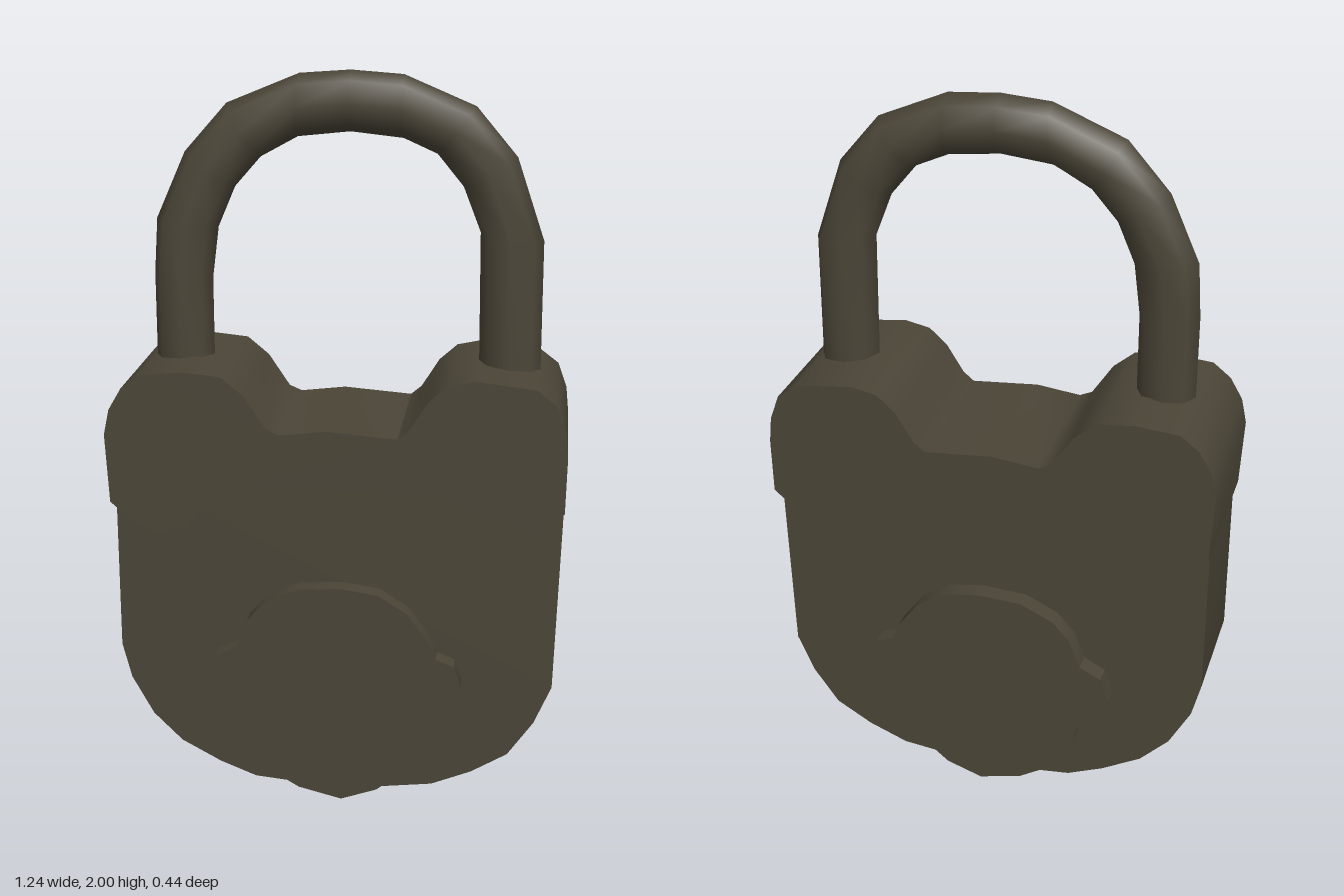
import * as THREE from 'three';
import { toCreasedNormals } from 'three/addons/utils/BufferGeometryUtils.js';

const iron = new THREE.MeshStandardMaterial({ color: 0x4b4537 });
iron.name = 'dark iron';

// Solid slab from an outline, centred on z = 0
function slab(name, outline, depth) {
  const shape = new THREE.Shape(outline.map(([x, y]) => new THREE.Vector2(x, y)));
  const geo = new THREE.ExtrudeGeometry(shape, { depth, bevelEnabled: false });
  geo.translate(0, 0, -depth / 2);
  const mesh = new THREE.Mesh(toCreasedNormals(geo, 0.6), iron);
  mesh.name = name;
  return mesh;
}

// Bent bar: each station gives a point on the outer and inner edge of the bend
function bentBar(name, stations, halfDepth, sides) {
  const pos = [], index = [];
  stations.forEach(([ox, oy, ix, iy], i) => {
    for (let j = 0; j < sides; j++) {
      const a = (j / sides) * Math.PI * 2;
      const c = Math.cos(a) / 2;
      pos.push((ox + ix) / 2 + (ox - ix) * c, (oy + iy) / 2 + (oy - iy) * c, Math.sin(a) * halfDepth);
      if (i === stations.length - 1) continue;
      const k = (j + 1) % sides;
      const p = i * sides + j, q = i * sides + k;
      index.push(p, q, p + sides, q, q + sides, p + sides);
    }
  });
  const geo = new THREE.BufferGeometry();
  geo.setAttribute('position', new THREE.Float32BufferAttribute(pos, 3));
  geo.setIndex(index);
  geo.computeVertexNormals();
  const mesh = new THREE.Mesh(geo, iron);
  mesh.name = name;
  return mesh;
}

export function createModel() {
  const group = new THREE.Group();
  group.name = 'padlock';

  // Main case with a rounded bottom
  group.add(slab('body', [
    [-0.605, 0.95], [-0.605, 0.42], [-0.58, 0.32], [-0.52, 0.21], [-0.44, 0.13], [-0.33, 0.07],
    [-0.23, 0.03], [0.02, 0.005], [0.27, 0.035], [0.38, 0.08], [0.48, 0.14], [0.55, 0.24],
    [0.597, 0.35], [0.612, 0.87], [0.612, 0.95],
  ], 0.336));

  // Thicker cap with two shoulders and a scalloped lower edge
  group.add(slab('cap', [
    // scalloped edge, left to right
    [-0.61, 0.86], [-0.54, 0.8], [-0.49, 0.77], [-0.44, 0.775], [-0.4, 0.8], [-0.36, 0.85],
    [-0.31, 0.895], [-0.26, 0.915], [-0.21, 0.905], [-0.16, 0.87], [-0.11, 0.9], [-0.02, 0.915],
    [0.09, 0.9], [0.14, 0.87], [0.19, 0.905], [0.24, 0.915], [0.29, 0.9], [0.34, 0.855],
    [0.4, 0.81], [0.45, 0.79], [0.54, 0.81], [0.614, 0.875],
    // shoulders and the dip between them, right to left
    [0.617, 1.03], [0.61, 1.1], [0.585, 1.17], [0.53, 1.212], [0.37, 1.23], [0.3, 1.215],
    [0.25, 1.17], [0.2, 1.09], [0.17, 1.065], [-0.02, 1.08], [-0.145, 1.065], [-0.18, 1.08],
    [-0.24, 1.17], [-0.3, 1.22], [-0.4, 1.23], [-0.52, 1.22], [-0.57, 1.18], [-0.605, 1.12],
    [-0.62, 1.05],
  ], 0.44));

  // Raised keyhole boss on both faces
  group.add(slab('boss', [
    [0.02, 0.635], [-0.1, 0.628], [-0.19, 0.585], [-0.24, 0.53], [-0.27, 0.45], [-0.33, 0.42],
    [-0.355, 0.35], [-0.33, 0.28], [-0.27, 0.25], [-0.25, 0.18], [-0.2, 0.09], [-0.1, 0.03],
    [0.02, 0], [0.12, 0.035], [0.21, 0.11], [0.25, 0.19], [0.27, 0.26], [0.33, 0.28],
    [0.35, 0.36], [0.33, 0.42], [0.28, 0.44], [0.26, 0.49], [0.2, 0.57], [0.12, 0.62],
  ], 0.44));

  // Shackle
  group.add(bentBar('shackle', [
    [-0.515, 1.1, -0.355, 1.1], [-0.515, 1.45, -0.355, 1.44], [-0.505, 1.6, -0.337, 1.58],
    [-0.425, 1.78, -0.29, 1.69], [-0.31, 1.91, -0.22, 1.77], [-0.115, 1.99, -0.12, 1.825],
    [0.02, 2, 0.02, 1.84], [0.16, 1.99, 0.16, 1.825], [0.35, 1.91, 0.25, 1.785],
    [0.46, 1.78, 0.32, 1.7], [0.535, 1.56, 0.367, 1.58], [0.537, 1.1, 0.372, 1.1],
  ], 0.068, 8));

  return group;
}
